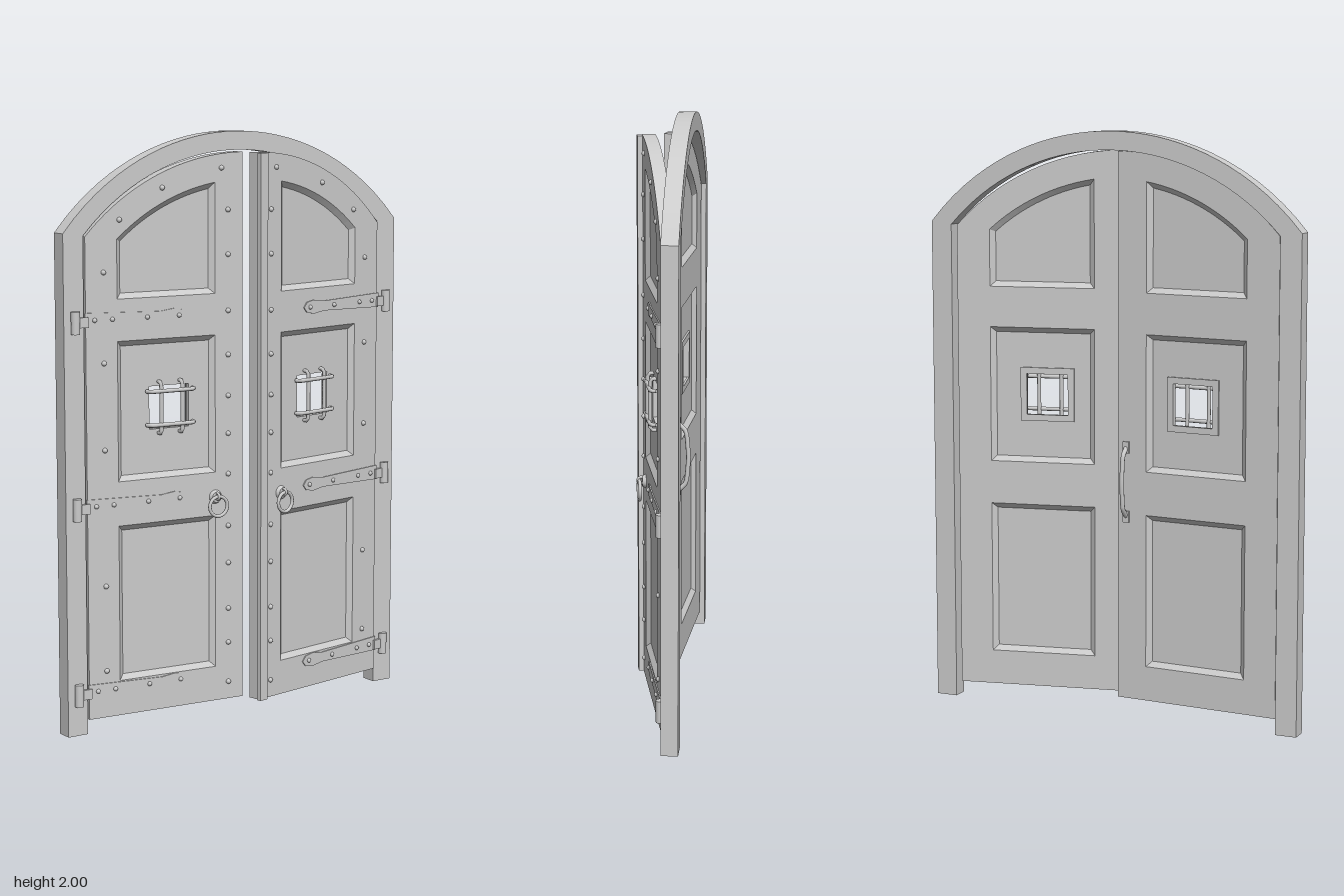
import * as THREE from 'three';

const grey = new THREE.MeshStandardMaterial({ color: 0xcccccc, side: THREE.DoubleSide });
grey.name = 'plain grey';

const ARC_Y = 1.125;      // common centre height of all the arches
const HINGE_X = 0.6, HINGE_Z = -0.04, THICK = 0.045;
const HINGE_YS = [0.14, 0.77, 1.39];

const arcY = (x, r) => ARC_Y + Math.sqrt(r * r - x * x);

// Points along an arch between two x positions
function arcPoints(x0, x1, r, n) {
  return Array.from({ length: n + 1 }, (_, i) => {
    const x = x0 + (x1 - x0) * i / n;
    return new THREE.Vector2(x, arcY(x, r));
  });
}

function add(parent, name, geometry, x = 0, y = 0, z = 0) {
  const mesh = new THREE.Mesh(geometry, grey);
  mesh.name = name;
  mesh.position.set(x, y, z);
  parent.add(mesh);
  return mesh;
}

function extrude(points, depth, holes = []) {
  const shape = new THREE.Shape(points);
  holes.forEach(h => shape.holes.push(new THREE.Path(h)));
  return new THREE.ExtrudeGeometry(shape, { depth, bevelEnabled: false });
}

const rect = (x0, y0, x1, y1) =>
  [[x0, y0], [x1, y0], [x1, y1], [x0, y1]].map(p => new THREE.Vector2(...p));

// Flat outline with an arched top
const archOutline = (x0, y0, x1, r, n) =>
  [new THREE.Vector2(x0, y0), new THREE.Vector2(x1, y0), ...arcPoints(x1, x0, r, n)];

// Sloping moulding between two matching outlines at different depths
function moulding(outer, inner, zOuter, zInner) {
  const pos = [];
  outer.forEach((a, i) => {
    const j = (i + 1) % outer.length, b = outer[j], c = inner[j], d = inner[i];
    const A = [a.x, a.y, zOuter], B = [b.x, b.y, zOuter], C = [c.x, c.y, zInner], D = [d.x, d.y, zInner];
    if (zOuter > zInner) pos.push(...A, ...B, ...C, ...A, ...C, ...D);
    else pos.push(...A, ...C, ...B, ...A, ...D, ...C);
  });
  const g = new THREE.BufferGeometry();
  g.setAttribute('position', new THREE.Float32BufferAttribute(pos, 3));
  g.computeVertexNormals();
  return g;
}

// Rounded bars from a short list of points
function rod(points, radius) {
  const curve = new THREE.CatmullRomCurve3(points.map(p => new THREE.Vector3(...p)), false, 'catmullrom', 0.2);
  return new THREE.TubeGeometry(curve, 16, radius, 8);
}

function stud(parent, x, y, z = 0, r = 0.009) {
  const g = new THREE.SphereGeometry(r, 12, 6, 0, Math.PI * 2, 0, Math.PI / 2);
  g.rotateX(Math.PI / 2);
  add(parent, 'stud', g, x, y, z);
}

// Outlines drawn for the +x leaf, flipped for the other
const flip = (pts, s) => (s > 0 ? pts : pts.map(p => new THREE.Vector2(-p.x, p.y)).reverse());

function panels(leaf, s) {
  const X0 = 0.11, X1 = 0.48, B = 0.018, R = 0.716;
  const list = [
    [rect(X0, 0.17, X1, 0.70), rect(X0 + B, 0.17 + B, X1 - B, 0.70 - B)],
    [rect(X0, 0.85, X1, 1.32), rect(X0 + B, 0.85 + B, X1 - B, 1.32 - B)],
    [archOutline(X0, 1.46, X1, R, 12), archOutline(X0 + B, 1.46 + B, X1 - B, R - B, 12)],
  ].map(pair => pair.map(o => flip(o, s)));
  const windowHole = flip(rect(0.205, 1.015, 0.355, 1.16), s);
  list.forEach(([outer, inner], i) => {
    add(leaf, 'panel', extrude(outer, 0.015, i === 1 ? [windowHole] : []), 0, 0, -0.03);
    add(leaf, 'frontMoulding', moulding(outer, inner, 0, -0.015));
    add(leaf, 'backMoulding', moulding(outer, inner, -THICK, -0.03));
  });
  return list.map(pair => pair[0]);
}

// Barred peep window with a trim on the back
function peepWindow(leaf, s) {
  const g = new THREE.Group();
  g.name = 'barredWindow';
  g.position.set(s * 0.28, 1.0875, -0.015);
  leaf.add(g);
  const bar = (len, place) => [[-len, 0], [-len + 0.008, 0.02], [len - 0.008, 0.02], [len, 0]].map(place);
  for (const k of [-1, 1]) {
    add(g, 'uprightBar', rod(bar(0.087, ([t, z]) => [k * 0.04, t, z]), 0.007));
    add(g, 'crossBar', rod(bar(0.087, ([t, z]) => [t, k * 0.057, z + 0.004]), 0.007));
  }
  add(g, 'windowTrim', extrude(rect(-0.095, -0.093, 0.095, 0.093), 0.008,
    [rect(-0.073, -0.071, 0.073, 0.071)]), 0, 0, -0.022);
}

// Strap hinge: pin, knuckle tab, tapered strap and bolts
function hinge(leaf, s, y) {
  const g = new THREE.Group();
  g.name = 'strapHinge';
  leaf.add(g);
  add(g, 'hingePin', new THREE.CylinderGeometry(0.015, 0.015, 0.075, 16), s * 0.636, y, 0.006);
  add(g, 'hingeTab', new THREE.BoxGeometry(0.045, 0.034, 0.01), s * 0.612, y, 0.005);
  const strap = [[0.6, -0.025], [0.6, 0.025], [0.32, 0.017], [0.27, 0.024], [0.235, 0.018],
    [0.22, 0], [0.235, -0.018], [0.27, -0.024], [0.32, -0.017]]
    .map(p => new THREE.Vector2(...p));
  add(g, 'strap', extrude(flip(strap, s), 0.004), 0, y + 0.005, 0);
  for (const x of [0.565, 0.5, 0.37, 0.25]) stud(g, s * x, y + 0.005, 0.004, 0.008);
}

// Ring pull hanging from a round boss
function ringPull(leaf, s) {
  const g = new THREE.Group();
  g.name = 'ringPull';
  g.position.set(s * 0.11, 0.735, 0);
  leaf.add(g);
  add(g, 'boss', new THREE.CylinderGeometry(0.018, 0.024, 0.012, 20).rotateX(Math.PI / 2), 0, 0.03, 0.006);
  add(g, 'loop', new THREE.TorusGeometry(0.011, 0.005, 8, 16).rotateY(Math.PI / 2), 0, 0.034, 0.016);
  add(g, 'ring', new THREE.TorusGeometry(0.034, 0.006, 10, 32), 0, 0, 0.022);
}

function doorLeaf(s, angle) {
  const pivot = new THREE.Group();
  pivot.name = s > 0 ? 'leftLeaf' : 'rightLeaf';
  pivot.position.set(s * HINGE_X, 0, HINGE_Z);
  pivot.rotation.y = s * angle;
  const leaf = new THREE.Group();
  leaf.name = 'leafParts';
  leaf.position.x = -s * HINGE_X;
  pivot.add(leaf);

  const openings = panels(leaf, s);
  const outline = flip(archOutline(0.003, 0.05, 0.596, 0.807, 24), s);
  add(leaf, 'leafBoards', extrude(outline, THICK, openings), 0, 0, -THICK);
  peepWindow(leaf, s);
  HINGE_YS.forEach(y => hinge(leaf, s, y));
  ringPull(leaf, s);

  // Studs up both stiles and around the arch
  for (const y of [0.11, 0.25, 0.37, 0.53, 0.66, 0.84, 0.98, 1.11, 1.25, 1.4, 1.59, 1.74])
    stud(leaf, s * 0.06, y);
  for (const y of [0.21, 0.5, 0.96, 1.25, 1.55]) stud(leaf, s * 0.53, y);
  for (const [x, y] of [[0.47, 1.72], [0.31, 1.82], [0.085, 1.88]]) stud(leaf, s * x, y);

  if (s > 0) {
    // Cover strip over the meeting edge
    add(leaf, 'coverStrip', new THREE.BoxGeometry(0.034, 1.88, 0.017), 0.012, 0.99, 0.0085);
  } else {
    // Pull handle on the back
    add(leaf, 'backHandle', rod([[-0.035, 0.69, -THICK], [-0.035, 0.72, -0.072], [-0.035, 0.81, -0.08],
      [-0.035, 0.90, -0.072], [-0.035, 0.93, -THICK]], 0.008));
    for (const y of [0.69, 0.93])
      add(leaf, 'handlePlate', new THREE.BoxGeometry(0.022, 0.04, 0.008), -0.035, y, -THICK - 0.003);
  }
  return pivot;
}

export function createModel() {
  const model = new THREE.Group();
  model.name = 'archedDoubleDoor';

  // Arched surround with an open foot
  const surround = [
    new THREE.Vector2(0.675, 0), ...arcPoints(0.675, -0.675, 0.875, 32), new THREE.Vector2(-0.675, 0),
    new THREE.Vector2(-0.6, 0), ...arcPoints(-0.6, 0.6, 0.812, 32), new THREE.Vector2(0.6, 0),
  ];
  add(model, 'doorFrame', extrude(surround, 0.057), 0, 0, -0.102);

  model.add(doorLeaf(1, 0.19), doorLeaf(-1, 0.067));
  return model;
}
